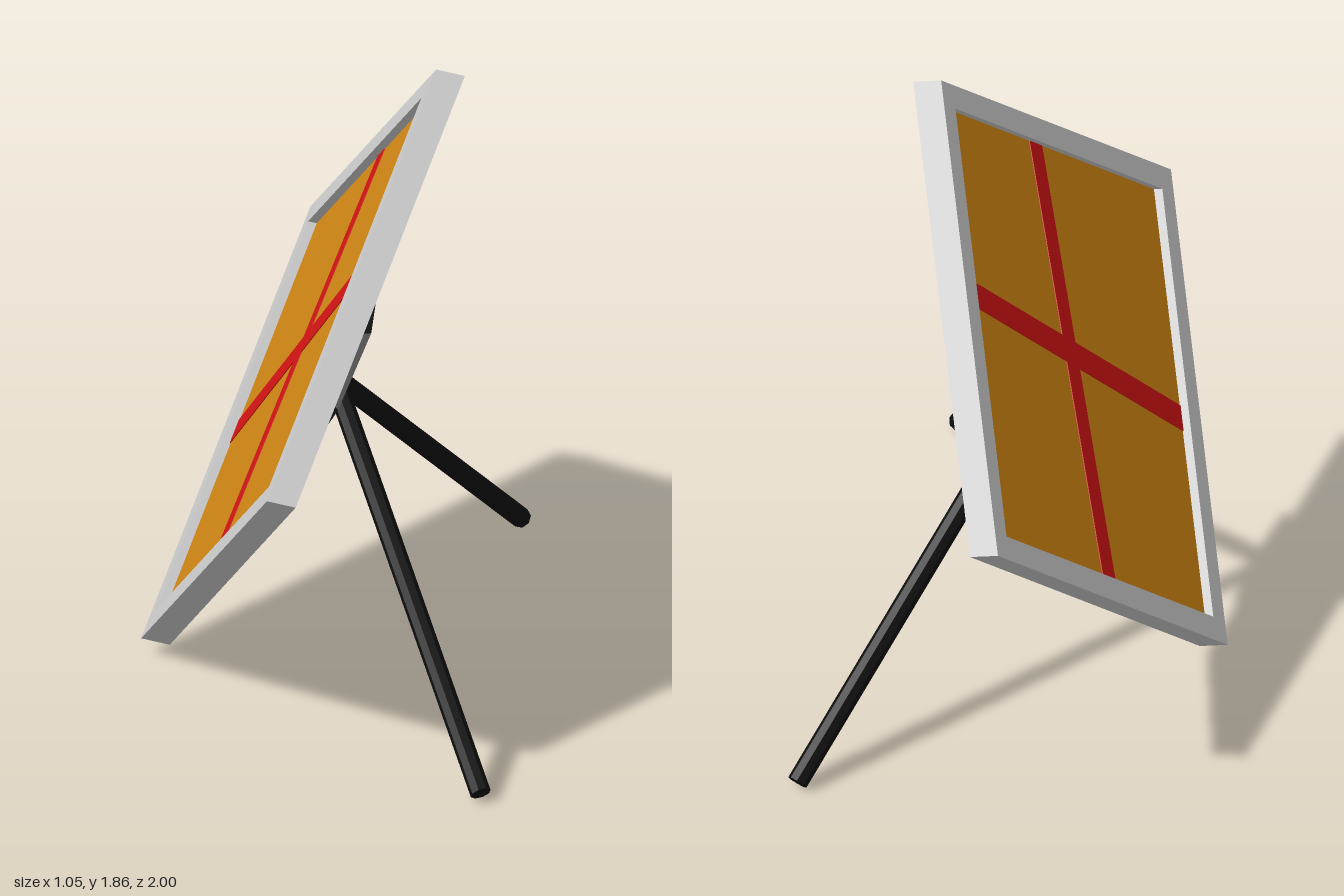
import * as THREE from 'three';

const flat = (name, color) => {
  const m = new THREE.MeshStandardMaterial({ color });
  m.name = name;
  return m;
};

// Diamond outline with corners at distance r from its centre
function diamond(r, Type = THREE.Shape) {
  const s = new Type();
  s.moveTo(r, 0);
  s.lineTo(0, r);
  s.lineTo(-r, 0);
  s.lineTo(0, -r);
  s.closePath();
  return s;
}

export function createModel() {
  const group = new THREE.Group();
  const gray = flat('light gray', 0xc8c8c8);
  const orange = flat('orange', 0xce8413);
  const red = flat('red', 0xce1213);
  const black = flat('black', 0x0f0f10);

  const add = (name, geometry, material) => {
    const mesh = new THREE.Mesh(geometry, material);
    mesh.name = name;
    group.add(mesh);
    return mesh;
  };

  // Leaning panel space: across, up the slope, and through the thickness (0 back, 1 face)
  const panelSpace = new THREE.Matrix4().makeBasis(
    new THREE.Vector3(0, 0, 1),
    new THREE.Vector3(0.421, 0.905, 0),
    new THREE.Vector3(-0.082, 0.018, 0)
  ).setPosition(-0.027, 0.934, 0);
  const slab = (shape, from, to) =>
    new THREE.ExtrudeGeometry(shape, { depth: to - from, bevelEnabled: false })
      .translate(0, 0, from).applyMatrix4(panelSpace);

  // Back slab and raised border
  const floor = 0.67, inner = 0.9;
  add('panelBack', slab(diamond(1), 0, floor), gray);
  const border = diamond(1);
  border.holes.push(diamond(inner, THREE.Path));
  add('panelBorder', slab(border, floor, 1), gray);

  // Recessed face
  add('panelFace', slab(diamond(inner), floor, floor + 0.03), orange);

  // Crossed stripes, ends cut along the border
  for (const s of [1, -1]) {
    const e = 0.027;
    const stripe = new THREE.Shape([
      [0.418 - e, -0.482 - e], [0.418 + e, -0.482 + e],
      [-0.383 + e, 0.517 + e], [-0.383 - e, 0.517 - e],
    ].map(([x, y]) => new THREE.Vector2(s * x, y)));
    add(s > 0 ? 'stripeA' : 'stripeB', slab(stripe, floor + 0.03, floor + 0.06), red);
  }

  // Six-sided hub flaring away from the panel back
  const up = new THREE.Vector3(0, 1, 0);
  const hubStart = new THREE.Vector3(-0.028, 0.931, 0);
  const hubEnd = new THREE.Vector3(0.045, 0.887, 0);
  const hub = add('hub', new THREE.CylinderGeometry(0.24, 0.15, 0.085, 6).toNonIndexed(), black);
  hub.geometry.computeVertexNormals();
  hub.position.copy(hubStart).lerp(hubEnd, 0.5);
  hub.quaternion.setFromUnitVectors(up, new THREE.Vector3(0.907, -0.42, 0).normalize());

  // Two splayed legs
  for (const s of [1, -1]) {
    const top = new THREE.Vector3(0.02, 0.885, 0);
    const foot = new THREE.Vector3(0.497, 0.022, s * 0.935);
    const axis = top.clone().sub(foot);
    const leg = add(s > 0 ? 'legLeft' : 'legRight',
      new THREE.CylinderGeometry(0.03, 0.03, axis.length(), 8).toNonIndexed(), black);
    leg.geometry.computeVertexNormals();
    leg.position.copy(top).add(foot).multiplyScalar(0.5);
    leg.quaternion.setFromUnitVectors(up, axis.normalize());
  }

  return group;
}
